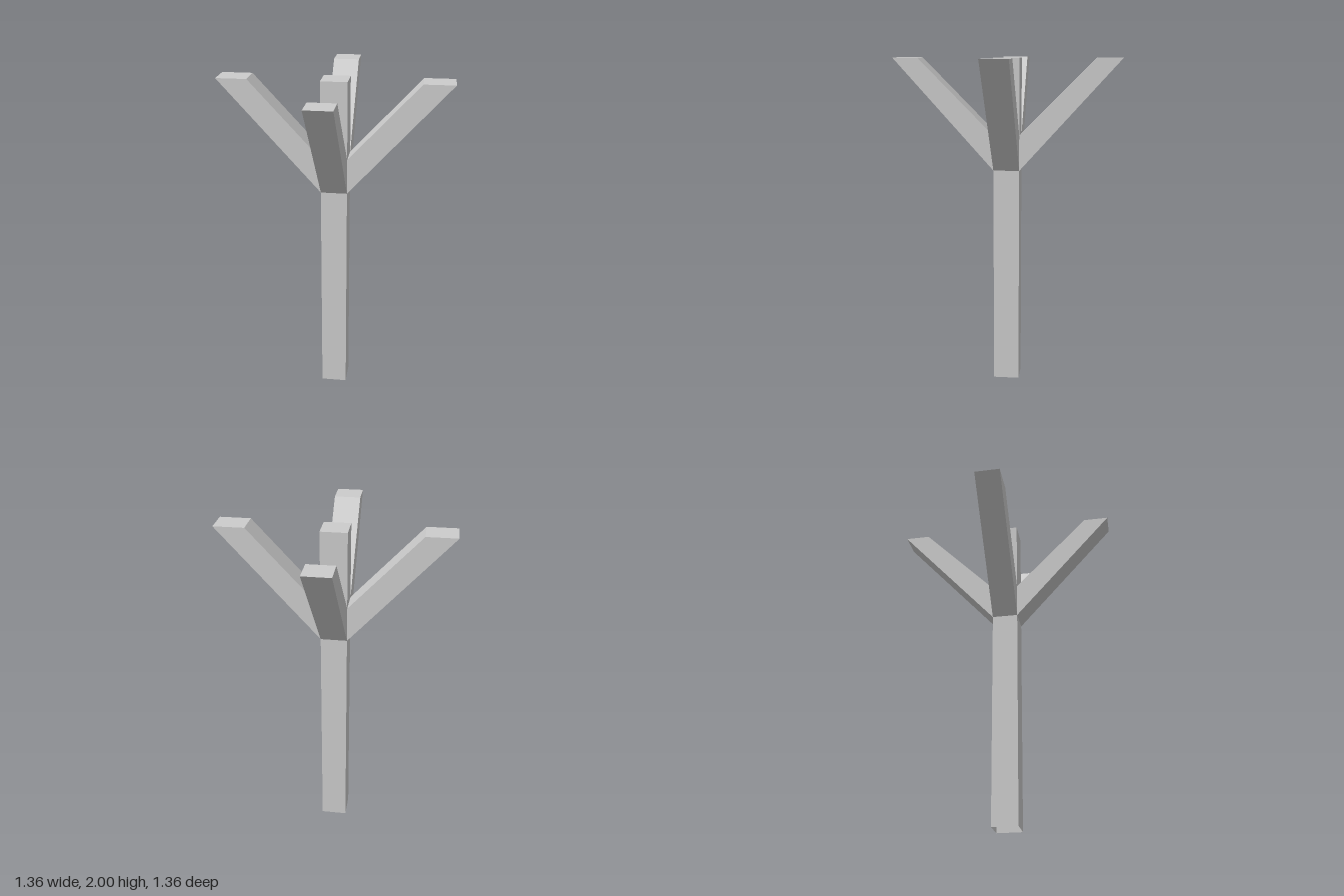
import * as THREE from 'three';

const HALF = 0.078;      // half the post thickness
const TOP = 2;           // level of all the cut ends
const FORK_LOW = 1.335;  // underside of a branch at the post
const FORK_HIGH = 1.545; // upper side of a branch at the post
const REACH = 0.678;     // outermost point of a branch

// Box side numbers, in the order BoxGeometry builds them
const NEG_X = 1, NEG_Y = 3;

// Box with one side left out
function openBox(w, h, d, side) {
  const geo = new THREE.BoxGeometry(w, h, d);
  const index = Array.from(geo.index.array);
  index.splice(side * 6, 6);
  geo.setIndex(index);
  geo.clearGroups();
  return geo;
}

// Slanted branch along +x: open at the post, cut level at the top
function branchGeometry(innerTip) {
  const geo = openBox(1, 1, HALF * 2, NEG_X);
  const pos = geo.attributes.position;
  for (let i = 0; i < pos.count; i++) {
    const upper = pos.getY(i) > 0;
    if (pos.getX(i) > 0) pos.setXY(i, upper ? innerTip : REACH, TOP);
    else pos.setXY(i, HALF, upper ? FORK_HIGH : FORK_LOW);
  }
  geo.computeVertexNormals();
  return geo;
}

export function createModel() {
  const model = new THREE.Group();
  model.name = 'branchingPost';
  const material = new THREE.MeshStandardMaterial({
    color: 0xcccccc, flatShading: true, side: THREE.DoubleSide,
  });

  // Upright post, hollow and open at the foot
  const post = new THREE.Mesh(openBox(HALF * 2, TOP, HALF * 2, NEG_Y), material);
  post.name = 'post';
  post.position.y = TOP / 2;
  model.add(post);

  // Four branches; the side pair is a little thicker than the front and back pair
  const sideBranch = branchGeometry(0.497);
  const frontBackBranch = branchGeometry(0.528);
  ['leftBranch', 'backBranch', 'rightBranch', 'frontBranch'].forEach((name, i) => {
    const branch = new THREE.Mesh(i % 2 ? frontBackBranch : sideBranch, material);
    branch.name = name;
    branch.rotation.y = i * Math.PI / 2;
    model.add(branch);
  });

  return model;
}
